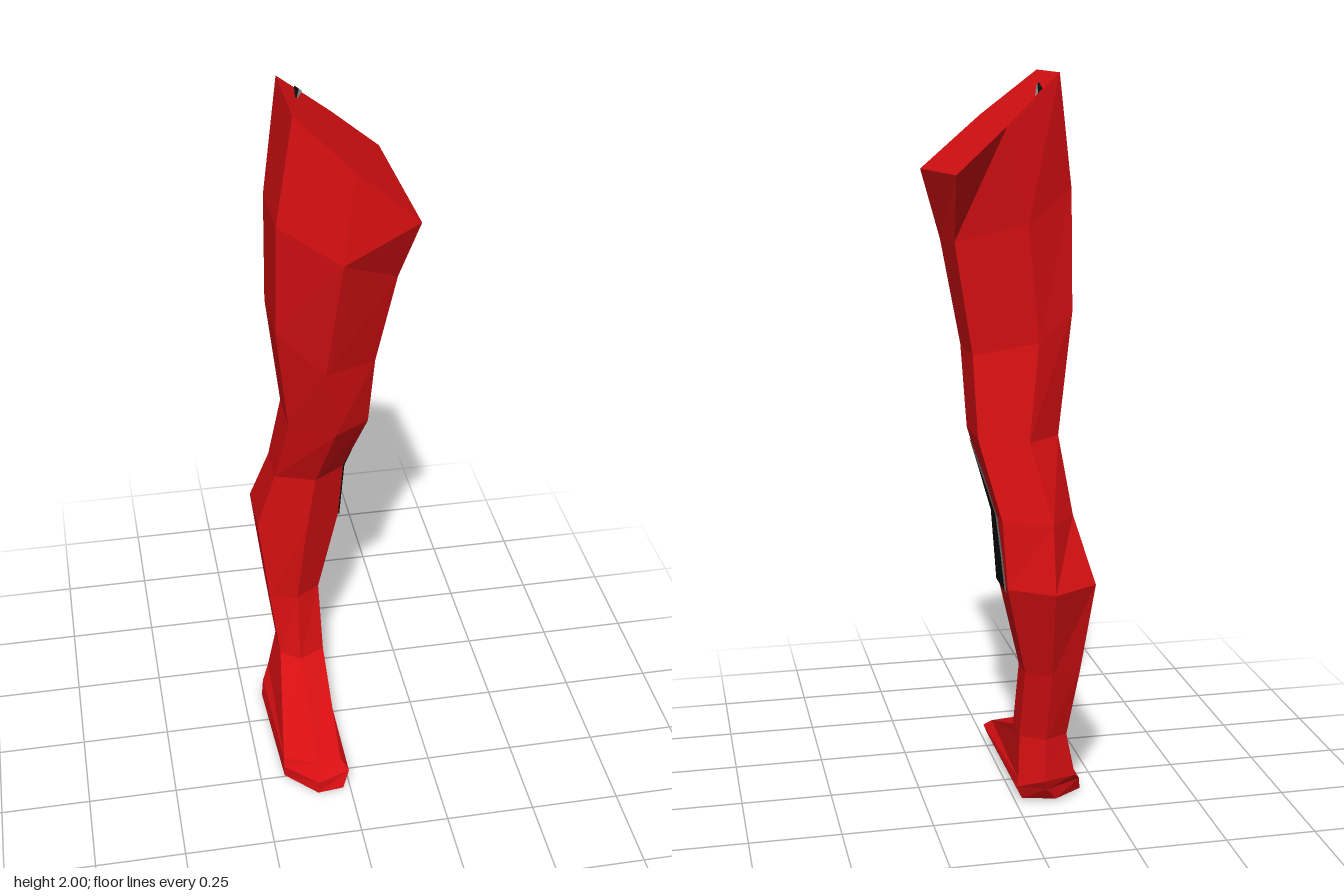
import * as THREE from 'three';

const red = new THREE.MeshStandardMaterial({ color: 0xd60f12, flatShading: true });
red.name = 'red';
const black = new THREE.MeshStandardMaterial({ color: 0x0c0c0c, side: THREE.DoubleSide });
black.name = 'black';
const grey = new THREE.MeshStandardMaterial({ color: 0x888888, side: THREE.DoubleSide });
grey.name = 'grey';

// slanted plane that cuts off the hip
const capY = (x) => 2 - 0.87 * (x + 0.11);

// ring at one height: x,z pairs in the order front, frontRight, backRight, back, backLeft, frontLeft
const level = (y, ...pairs) => pairs.map(([x, z]) => [x, y, z]);

function mesh(name, triangles, material) {
  const geometry = new THREE.BufferGeometry();
  geometry.setAttribute('position', new THREE.Float32BufferAttribute(triangles.flat(), 3));
  geometry.computeVertexNormals();
  const m = new THREE.Mesh(geometry, material);
  m.name = name;
  return m;
}

// skin a stack of rings from top to bottom, with optional end caps
function loft(name, rings, capTop, capBottom) {
  const t = [];
  for (let r = 0; r < rings.length - 1; r++) {
    const up = rings[r], low = rings[r + 1], n = up.length;
    for (let i = 0; i < n; i++) {
      const j = (i + 1) % n;
      t.push(low[i], low[j], up[j], low[i], up[j], up[i]);
    }
  }
  const top = rings[0], bottom = rings[rings.length - 1];
  for (let i = 1; i < top.length - 1; i++) {
    if (capTop) t.push(top[0], top[i], top[i + 1]);
    if (capBottom) t.push(bottom[0], bottom[i + 1], bottom[i]);
  }
  return mesh(name, t, red);
}

// thin painted strip between two edges
function strip(name, left, right, material) {
  const t = [];
  for (let i = 0; i < left.length - 1; i++) {
    t.push(left[i], left[i + 1], right[i + 1], left[i], right[i + 1], right[i]);
  }
  return mesh(name, t, material);
}

export function createModel() {
  const leg = new THREE.Group();
  leg.name = 'leg';

  // shared rings at the knee and ankle
  const knee = level(1.05, [0.005, 0.06], [0.105, 0], [0.105, -0.16], [-0.02, -0.225], [-0.115, -0.15], [-0.115, -0.005]);
  const ankle = level(0.2, [-0.085, -0.03], [-0.01, -0.07], [-0.01, -0.155], [-0.075, -0.2], [-0.14, -0.17], [-0.14, -0.07]);

  // thigh, open hip closed by the slanted cap
  const hip = [[0.03, 0.18], [0.195, 0.187], [0.175, -0.245], [0.04, -0.22], [-0.11, -0.16], [-0.11, 0.1]]
    .map(([x, z]) => [x, capY(x), z]);
  const upperThigh = [
    [0, 1.63, 0.187], [0.155, 1.55, 0.11], [0.158, 1.57, -0.12],
    [-0.02, 1.62, -0.205], [-0.155, 1.7, -0.115], [-0.155, 1.71, 0.1],
  ];
  const midThigh = [
    [-0.03, 1.27, 0.105], [0.112, 1.27, 0.05], [0.112, 1.27, -0.125],
    [-0.05, 1.31, -0.2], [-0.155, 1.38, -0.135], [-0.155, 1.38, 0.06],
  ];
  leg.add(loft('thigh', [hip, upperThigh, midThigh, knee], true, false));

  // calf
  leg.add(loft('calf', [
    knee,
    level(0.84, [-0.035, -0.04], [0.055, -0.1], [0.055, -0.235], [-0.07, -0.295], [-0.145, -0.2], [-0.145, -0.08]),
    level(0.66, [-0.06, -0.05], [0.045, -0.12], [0.045, -0.255], [-0.068, -0.333], [-0.195, -0.26], [-0.195, -0.1]),
    level(0.4, [-0.085, -0.075], [-0.015, -0.12], [-0.015, -0.2], [-0.08, -0.245], [-0.165, -0.215], [-0.165, -0.09]),
    ankle,
  ], false, false));

  // foot with pointed toe and bevelled sole
  leg.add(loft('foot', [
    ankle,
    [[-0.085, 0.07, 0.285], [-0.02, 0.07, 0.275], [-0.005, 0.075, -0.16], [-0.07, 0.08, -0.21], [-0.165, 0.075, -0.17], [-0.18, 0.06, 0.235]],
    [[-0.092, 0.035, 0.33], [0, 0.045, 0.305], [0, 0.05, -0.16], [-0.08, 0.05, -0.195], [-0.188, 0.045, -0.13], [-0.182, 0.035, 0.245]],
    [[-0.095, 0, 0.333], [-0.02, 0, 0.325], [-0.018, 0.01, -0.15], [-0.11, 0.01, -0.175], [-0.195, 0.005, -0.11], [-0.18, 0, 0.245]],
  ], false, true));

  // crescent painted on the outer side of the calf: y, front edge, inner curve, outer curve
  const rows = [
    [1.025, -0.025, -0.025, -0.04],
    [0.95, -0.06, -0.075, -0.125],
    [0.9, -0.077, -0.125, -0.155],
    [0.84, -0.1, -0.162, -0.19],
    [0.74, -0.112, -0.202, -0.228],
    [0.65, -0.122, -0.228, -0.254],
  ];
  const sideX = (y) => 0.004 + (y > 0.84 ? 0.055 + (y - 0.84) * 0.238 : 0.045 + (y - 0.66) * 0.0556);
  const edge = (k) => rows.map((r) => [sideX(r[0]), r[0], r[k]]);
  leg.add(strip('calfPatch', edge(1), edge(2), black));
  leg.add(strip('calfPatchRim', edge(2), edge(3), grey));

  // small sliver painted on the hip cap
  const onCap = ([x, z]) => [x, capY(x) + 0.004, z];
  const inner = [[-0.06, -0.185], [-0.074, -0.08]].map(onCap);
  const middle = [[-0.047, -0.188], [-0.07, -0.08]].map(onCap);
  const outer = [[-0.038, -0.19], [-0.068, -0.08]].map(onCap);
  leg.add(strip('hipSliver', inner, middle, black));
  leg.add(strip('hipSliverRim', middle, outer, grey));

  return leg;
}
